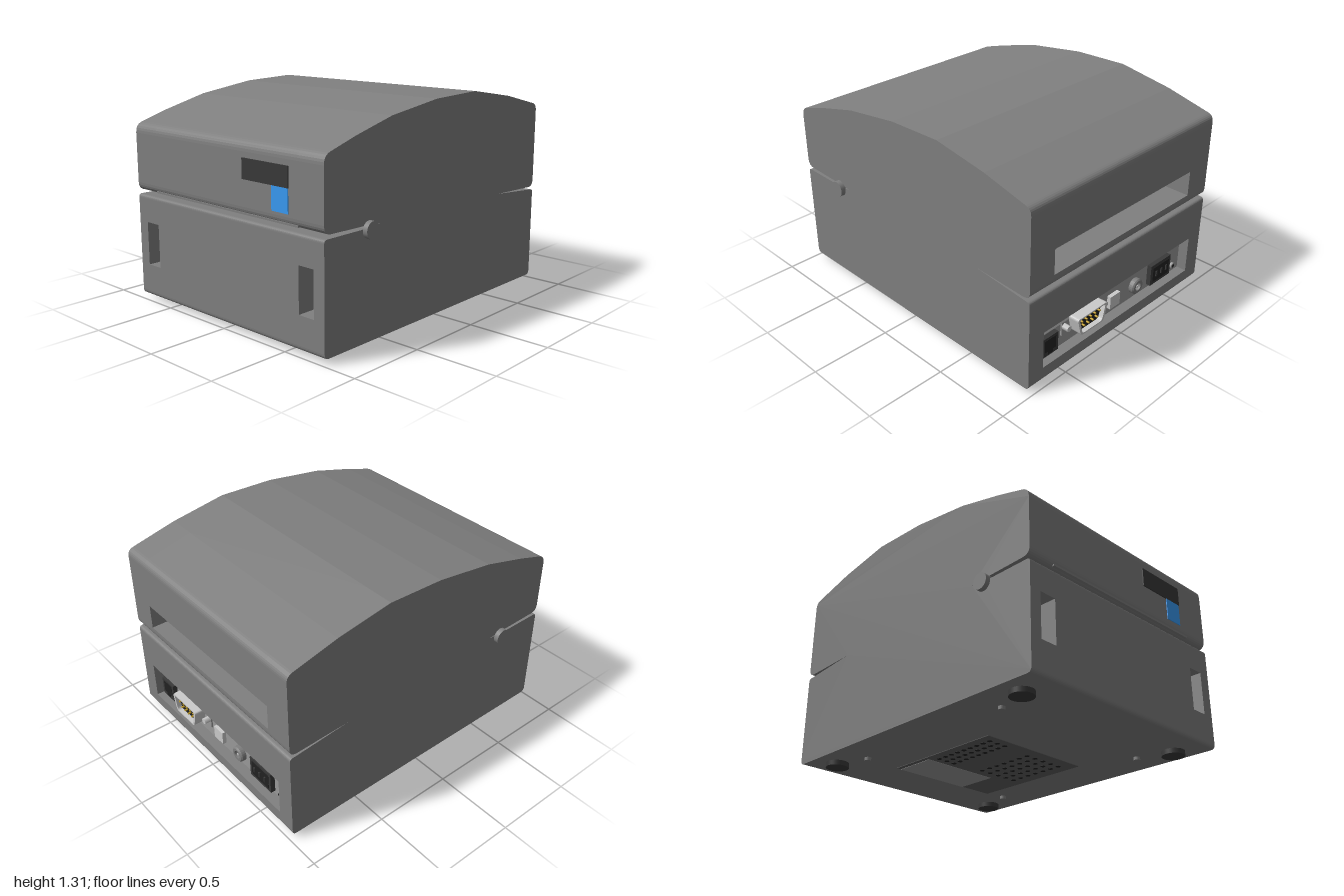
import * as THREE from 'three';

const mat = (color) => new THREE.MeshStandardMaterial({ color });
const body = mat(0x808080), dark = mat(0x3a3a3a), black = mat(0x222222), blue = mat(0x3a9bf4);
const light = mat(0xcccccc), plateGrey = mat(0x9a9a9a), gold = mat(0xc9a227);

function add(parent, name, geometry, material, x = 0, y = 0, z = 0) {
  const mesh = new THREE.Mesh(geometry, material);
  mesh.name = name;
  mesh.position.set(x, y, z);
  parent.add(mesh);
  return mesh;
}

// Box given by its limits on each axis
function box(parent, name, material, [x0, x1], [y0, y1], [z0, z1]) {
  return add(parent, name, new THREE.BoxGeometry(x1 - x0, y1 - y0, z1 - z0), material,
    (x0 + x1) / 2, (y0 + y1) / 2, (z0 + z1) / 2);
}

// Cylinder lying along z
function rod(parent, name, material, r, x, y, z0, z1, sides = 24) {
  const g = new THREE.CylinderGeometry(r, r, z1 - z0, sides).rotateX(Math.PI / 2);
  return add(parent, name, g, material, x, y, (z0 + z1) / 2);
}

// Closed outline from [u, v, cornerRadius] points
function roundedOutline(points) {
  const shape = new THREE.Shape();
  points.forEach(([u, v, r = 0], i) => {
    const p = new THREE.Vector2(u, v);
    const toward = (q) => new THREE.Vector2(q[0], q[1]).sub(p).setLength(r).add(p);
    const a = toward(points.at(i - 1)), b = toward(points[(i + 1) % points.length]);
    if (i === 0) shape.moveTo(a.x, a.y); else shape.lineTo(a.x, a.y);
    if (r) shape.quadraticCurveTo(u, v, b.x, b.y);
  });
  return shape;
}

// Side profile (z, y), notched where a recess runs through the slice
function caseProfile(handle, port, slot) {
  const notch = (on, z, depthZ, y0, y1) => on ? [[z, y0], [depthZ, y0], [depthZ, y1], [z, y1]] : [];
  return roundedOutline([
    [0.99, 0.03, 0.03],
    ...notch(handle, 0.99, 0.88, 0.23, 0.5),
    [0.99, 0.667, 0.02], [0.65, 0.665], [0.56, 0.675], [0.65, 0.682], [0.99, 0.69, 0.05],
    [0.99, 1.095, 0.05], [0.76, 1.165], [0.47, 1.24], [0.08, 1.295], [-0.29, 1.308],
    [-0.65, 1.25], [-0.98, 1.17, 0.04],
    ...notch(slot, -0.98, -0.78, 0.86, 0.70),
    [-0.98, 0.63, 0.05], [-0.57, 0.645], [-0.98, 0.61, 0.02],
    ...notch(port, -0.98, -0.91, 0.36, 0.12),
    [-0.98, 0.03, 0.03],
  ]);
}

function buildCase() {
  const g = new THREE.Group();
  g.name = 'case';
  const cuts = [-0.785, -0.71, -0.67, -0.6, 0.6, 0.67, 0.71, 0.785];
  for (let i = 0; i < cuts.length - 1; i++) {
    const [x0, x1] = [cuts[i], cuts[i + 1]], mid = Math.abs(x0 + x1) / 2;
    const profile = caseProfile(mid > 0.6 && mid < 0.71, mid < 0.67, mid < 0.6);
    const geo = new THREE.ExtrudeGeometry(profile, { depth: x1 - x0, bevelEnabled: false, curveSegments: 6 });
    add(g, 'caseSection', geo, body, x1).rotation.y = -Math.PI / 2;
  }
  return g;
}

// Connector panel in the lower back recess
function buildRearPanel() {
  const g = new THREE.Group();
  g.name = 'rearPanel';
  const z = -0.905;
  box(g, 'panelPlate', plateGrey, [-0.67, 0.67], [0.12, 0.36], [-0.915, z]);
  box(g, 'panelFlap', light, [0.22, 0.63], [0.285, 0.325], [-0.93, z]);

  // Network socket: frame with an open front
  box(g, 'networkSocket', dark, [0.51, 0.64], [0.14, 0.265], [-0.945, z]);
  box(g, 'networkOpening', black, [0.53, 0.62], [0.17, 0.25], [-0.947, -0.94]);
  box(g, 'networkLatch', black, [0.555, 0.595], [0.15, 0.17], [-0.947, -0.94]);

  // Serial port: tapered shell, insert, pins and side screws
  const taper = (s) => roundedOutline([[0.13 * s, 0.06 * s, 0.02], [-0.13 * s, 0.06 * s, 0.02],
    [-0.1 * s, -0.06 * s, 0.02], [0.1 * s, -0.06 * s, 0.02]]);
  const shell = taper(1);
  shell.holes.push(taper(0.86));
  const extrude = (shape, depth) => new THREE.ExtrudeGeometry(shape, { depth, bevelEnabled: false, curveSegments: 4 });
  add(g, 'serialShell', extrude(shell, 0.09), light, 0.28, 0.25, -1);
  add(g, 'serialInsert', extrude(taper(0.88), 0.06), black, 0.28, 0.25, -0.97);
  box(g, 'serialFlange', plateGrey, [0.1, 0.46], [0.19, 0.31], [-0.925, z]);
  for (let row = 0; row < 2; row++)
    for (let i = 0; i < 5 - row; i++)
      rod(g, 'serialPin', gold, 0.006, 0.28 + (i - (4 - row) / 2) * 0.038, 0.268 - row * 0.036, -0.99, -0.965, 8);
  for (const x of [0.12, 0.44]) rod(g, 'serialScrew', light, 0.02, x, 0.25, -0.965, z, 6);

  box(g, 'pushButton', light, [-0.045, 0.045], [0.165, 0.25], [-0.94, z]);

  // Round jack
  const ring = [[0.025, 0], [0.025, 0.04], [0.042, 0.04], [0.05, 0.032], [0.05, 0]];
  const jack = new THREE.LatheGeometry(ring.map(([r, y]) => new THREE.Vector2(r, y)), 24).rotateX(-Math.PI / 2);
  add(g, 'roundJack', jack, new THREE.MeshStandardMaterial({ color: 0x808080, side: THREE.DoubleSide, flatShading: true }), -0.21, 0.205, -0.91);
  rod(g, 'jackCore', black, 0.026, -0.21, 0.205, -0.925, z);
  rod(g, 'jackPin', light, 0.009, -0.21, 0.205, -0.945, z, 12);

  // Power socket
  box(g, 'powerSocket', dark, [-0.54, -0.34], [0.145, 0.285], [-0.945, z]);
  box(g, 'powerOpening', black, [-0.52, -0.36], [0.165, 0.265], [-0.948, -0.94]);
  for (const x of [-0.49, -0.44, -0.39]) box(g, 'powerPin', dark, [x - 0.006, x + 0.006], [0.2, 0.235], [-0.955, -0.94]);

  rod(g, 'panelScrew', plateGrey, 0.02, -0.6, 0.165, -0.93, z, 16);
  rod(g, 'panelScrewCore', black, 0.011, -0.6, 0.165, -0.932, z, 12);
  return g;
}

function buildUnderside() {
  const g = new THREE.Group();
  g.name = 'underside';
  for (const sx of [-1, 1]) for (const sz of [-1, 1]) {
    add(g, 'foot', new THREE.CylinderGeometry(0.07, 0.07, 0.035, 32), dark, sx * 0.645, 0.0175, sz * 0.79);
    add(g, 'stud', new THREE.CylinderGeometry(0.02, 0.02, 0.025, 16), body, sx * 0.575, 0.0225, sz * 0.575);
  }
  // Service plate, label and vent holes, each barely proud of the base
  box(g, 'servicePlate', mat(0x606060), [-0.33, 0.45], [0.027, 0.035], [-0.6, 0.22]);
  box(g, 'label', plateGrey, [-0.3, 0.22], [0.025, 0.035], [-0.6, -0.33]);
  const hole = new THREE.CylinderGeometry(0.016, 0.016, 0.01, 10);
  for (let i = 0; i < 7; i++)
    for (let j = 0; j < 5; j++) add(g, 'ventHole', hole, black, 0.36 - j * 0.07, 0.031, -0.26 + i * 0.065);
  for (let i = 0; i < 9; i++)
    for (let j = 0; j < 3; j++) add(g, 'ventHole', hole, black, -0.14 - j * 0.06, 0.031, -0.28 + i * 0.055);
  return g;
}

export function createModel() {
  const model = new THREE.Group();
  model.name = 'desktopPrinter';
  model.add(buildCase(), buildRearPanel(), buildUnderside());

  // Front display, button and paper lip
  box(model, 'displayWindow', dark, [0.182, 0.536], [0.895, 1.012], [0.98, 0.997]);
  box(model, 'feedButton', blue, [0.408, 0.532], [0.758, 0.895], [0.98, 0.995]);
  box(model, 'paperLip', body, [-0.6, 0.6], [0.698, 0.709], [0.95, 0.99]);

  // Side latch knobs
  for (const s of [-1, 1]) {
    const knob = new THREE.CylinderGeometry(0.05, 0.05, 0.05, 32).rotateZ(Math.PI / 2);
    add(model, s > 0 ? 'leftKnob' : 'rightKnob', knob, body, s * 0.79, 0.657, 0.65);
  }
  return model;
}
